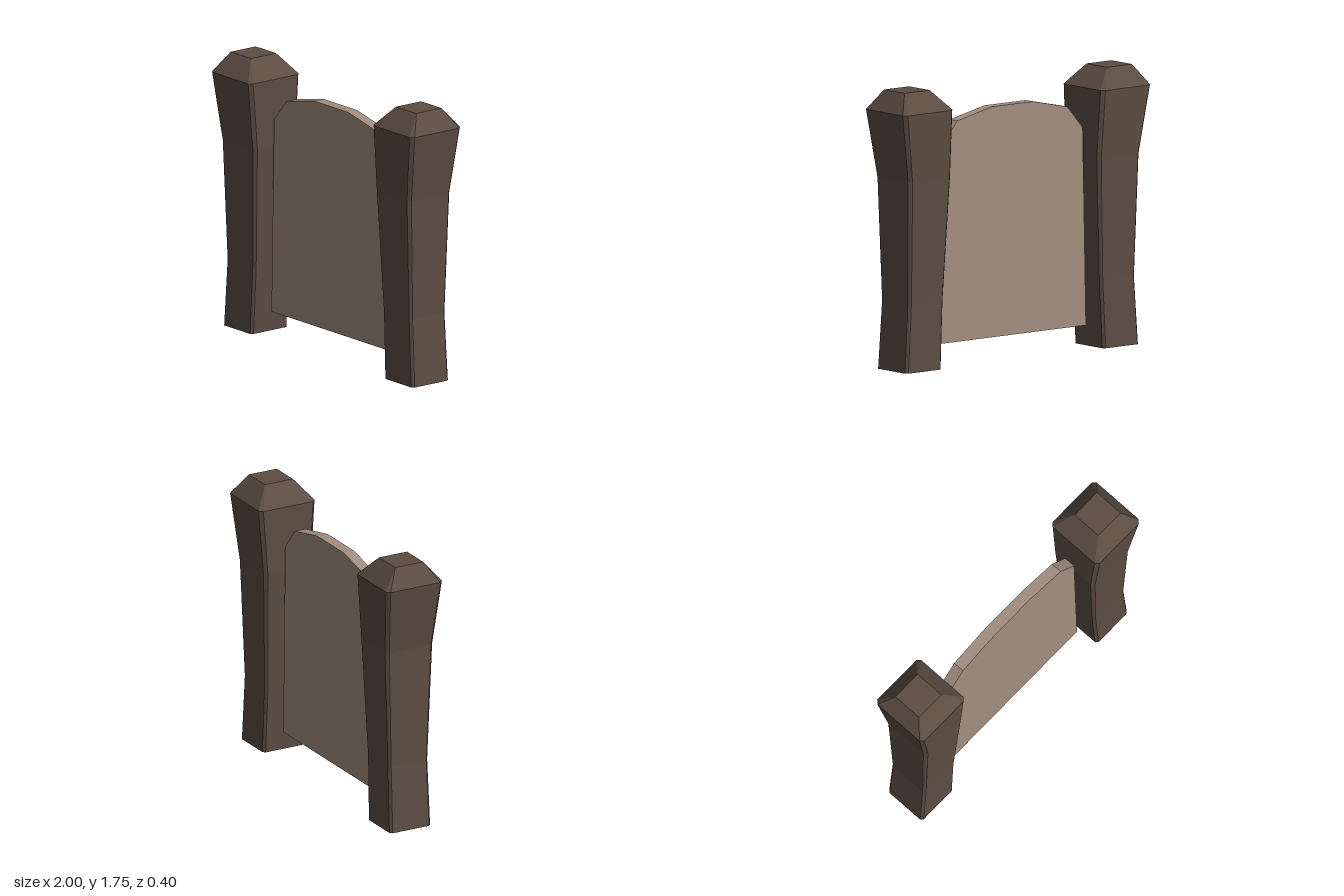
import * as THREE from 'three';

// Post cross-sections: height, inner x, outer x, half depth, corner chamfer
const POST_RINGS = [
  [0, 0.655, 0.942, 0.145, 0.015],
  [0.43, 0.635, 0.914, 0.14, 0.015],
  [1.2, 0.594, 0.932, 0.168, 0.02],
  [1.63, 0.6, 1, 0.2, 0.022],
  [1.755, 0.717, 0.92, 0.1, 0.001],
];

// Chamfered rectangle, counter-clockwise seen from above
function ring([y, inner, outer, d, c], side) {
  const cx = (side * (inner + outer)) / 2;
  const w = (outer - inner) / 2;
  return [
    [w - c, d], [w, d - c], [w, c - d], [w - c, -d],
    [c - w, -d], [-w, c - d], [-w, d - c], [c - w, d],
  ].map(([x, z]) => [cx + x, y, z]);
}

// Joins the rings into a closed solid
function loft(rings) {
  const pos = [];
  const tri = (a, b, c) => pos.push(...a, ...b, ...c);
  const n = rings[0].length;
  for (let r = 0; r < rings.length - 1; r++) {
    const lo = rings[r], hi = rings[r + 1];
    for (let i = 0; i < n; i++) {
      const j = (i + 1) % n;
      tri(lo[i], lo[j], hi[j]);
      tri(lo[i], hi[j], hi[i]);
    }
  }
  const bottom = rings[0], top = rings[rings.length - 1];
  for (let i = 1; i < n - 1; i++) {
    tri(top[0], top[i], top[i + 1]);
    tri(bottom[0], bottom[i + 1], bottom[i]);
  }
  const geo = new THREE.BufferGeometry();
  geo.setAttribute('position', new THREE.Float32BufferAttribute(pos, 3));
  geo.computeVertexNormals();
  return geo;
}

export function createModel() {
  const group = new THREE.Group();
  group.name = 'gate';
  const postMaterial = new THREE.MeshStandardMaterial({ color: 0x5c4d43, flatShading: true });
  const panelMaterial = new THREE.MeshStandardMaterial({ color: 0xa38e80, flatShading: true });

  // Flared posts with tapered caps
  for (const side of [1, -1]) {
    const post = new THREE.Mesh(loft(POST_RINGS.map((r) => ring(r, side))), postMaterial);
    post.name = side > 0 ? 'leftPost' : 'rightPost';
    group.add(post);
  }

  // Thin panel with a faceted arched top
  const half = [[0.595, 0.14], [0.569, 1.385], [0.446, 1.527], [0.166, 1.588]];
  const outline = [...half, ...half.map(([x, y]) => [-x, y]).reverse()];
  const shape = new THREE.Shape(outline.map(([x, y]) => new THREE.Vector2(x, y)));
  const panelGeo = new THREE.ExtrudeGeometry(shape, { depth: 0.074, bevelEnabled: false });
  panelGeo.translate(-0.002, 0, -0.04);
  const panel = new THREE.Mesh(panelGeo, panelMaterial);
  panel.name = 'panel';
  group.add(panel);

  return group;
}
